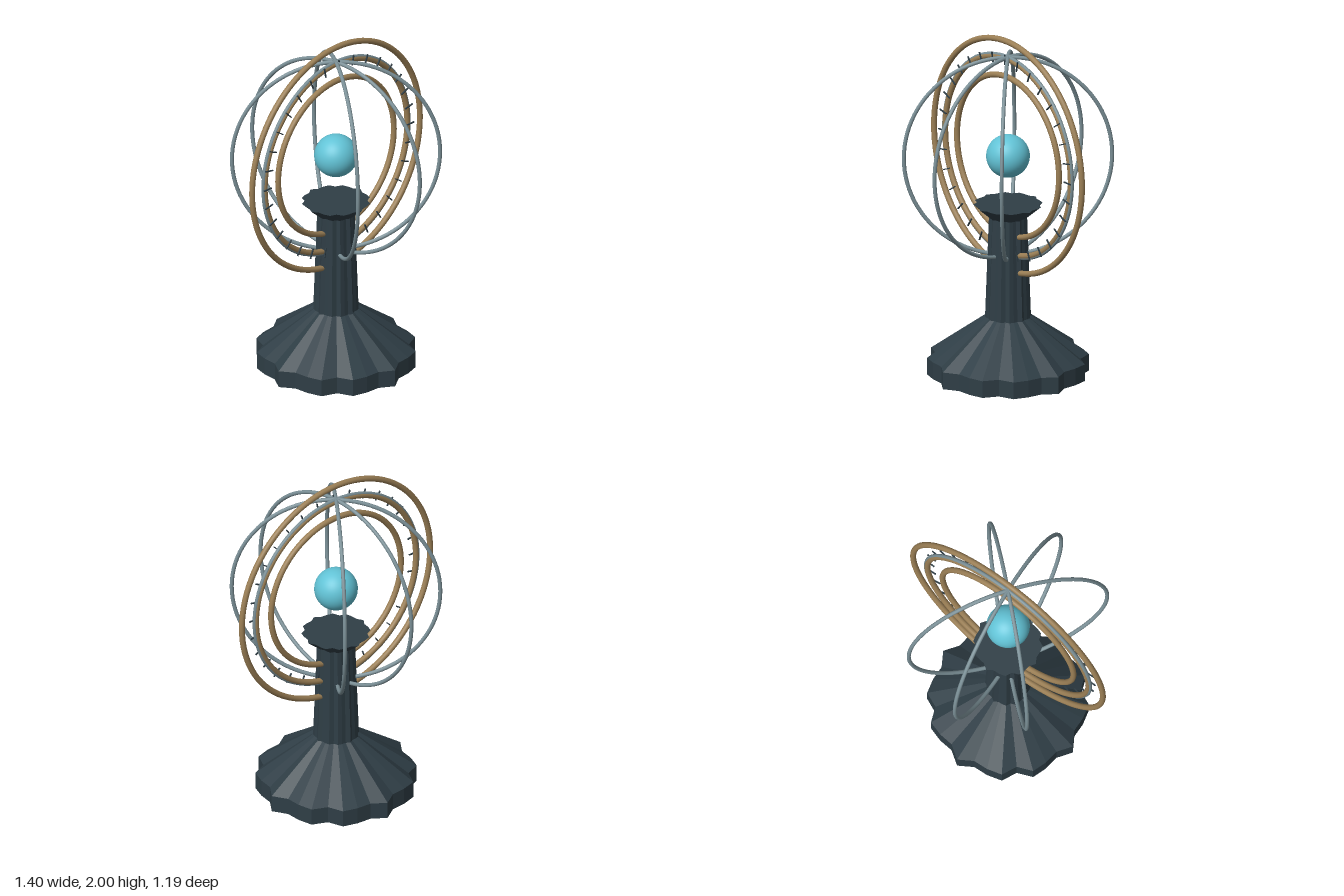
import * as THREE from 'three';

const mat = (name, color, extra = {}) => {
  const m = new THREE.MeshStandardMaterial({ color, ...extra });
  m.name = name;
  return m;
};

export function createModel() {
  const model = new THREE.Group();
  model.name = 'armillarySphere';
  const slate = mat('darkSlate', 0x2f3e46, { flatShading: true });
  const brass = mat('brass', 0x9c8056);
  const steel = mat('steel', 0x7b9097);
  const blue = mat('paleBlue', 0x62c3d6);
  const centerY = 1.3;

  const add = (name, geometry, material, parent = model) => {
    const mesh = new THREE.Mesh(geometry, material);
    mesh.name = name;
    parent.add(mesh);
    return mesh;
  };

  // Fluted pedestal: a lathe whose radius ripples twelve times round
  const profile = [[0, 0], [0.44, 0], [0.44, 0.1], [0.125, 0.34], [0.104, 0.937], [0.189, 1.013], [0, 1.013]];
  const pedestal = new THREE.LatheGeometry(profile.map(([r, y]) => new THREE.Vector2(r, y)), 32);
  const p = pedestal.attributes.position;
  for (let i = 0; i < p.count; i++) {
    const ripple = 1 + 0.06 * Math.cos(12 * Math.atan2(p.getX(i), p.getZ(i)));
    p.setX(i, p.getX(i) * ripple);
    p.setZ(i, p.getZ(i) * ripple);
  }
  pedestal.computeVertexNormals();
  add('pedestal', pedestal, slate);

  // Central globe
  add('globe', new THREE.SphereGeometry(0.124, 40, 28), blue).position.y = centerY;

  // Three concentric brass rings in the front plane
  [['outerRing', 0.683], ['graduatedRing', 0.58], ['innerRing', 0.471]].forEach(([name, r]) => {
    add(name, new THREE.TorusGeometry(r, 0.017, 12, 96), brass).position.y = centerY;
  });

  // Steel meridian hoops turned about the vertical axis
  for (let i = 0; i < 4; i++) {
    const hoop = add('meridianHoop', new THREE.TorusGeometry(0.591, 0.0115, 10, 96), steel);
    hoop.position.y = centerY;
    hoop.rotation.y = -0.72 * i;
  }

  // Graduation marks on the front of the middle ring
  const marks = new THREE.Group();
  marks.name = 'graduationMarks';
  marks.position.set(0, centerY, 0.024);
  model.add(marks);
  const markGeometry = new THREE.BoxGeometry(0.06, 0.006, 0.008);
  for (let i = 0; i < 32; i++) {
    const a = (i / 32) * Math.PI * 2;
    const mark = add('graduationMark', markGeometry, slate, marks);
    mark.position.set(0.58 * Math.cos(a), 0.58 * Math.sin(a), 0);
    mark.rotation.z = a;
  }
  return model;
}
